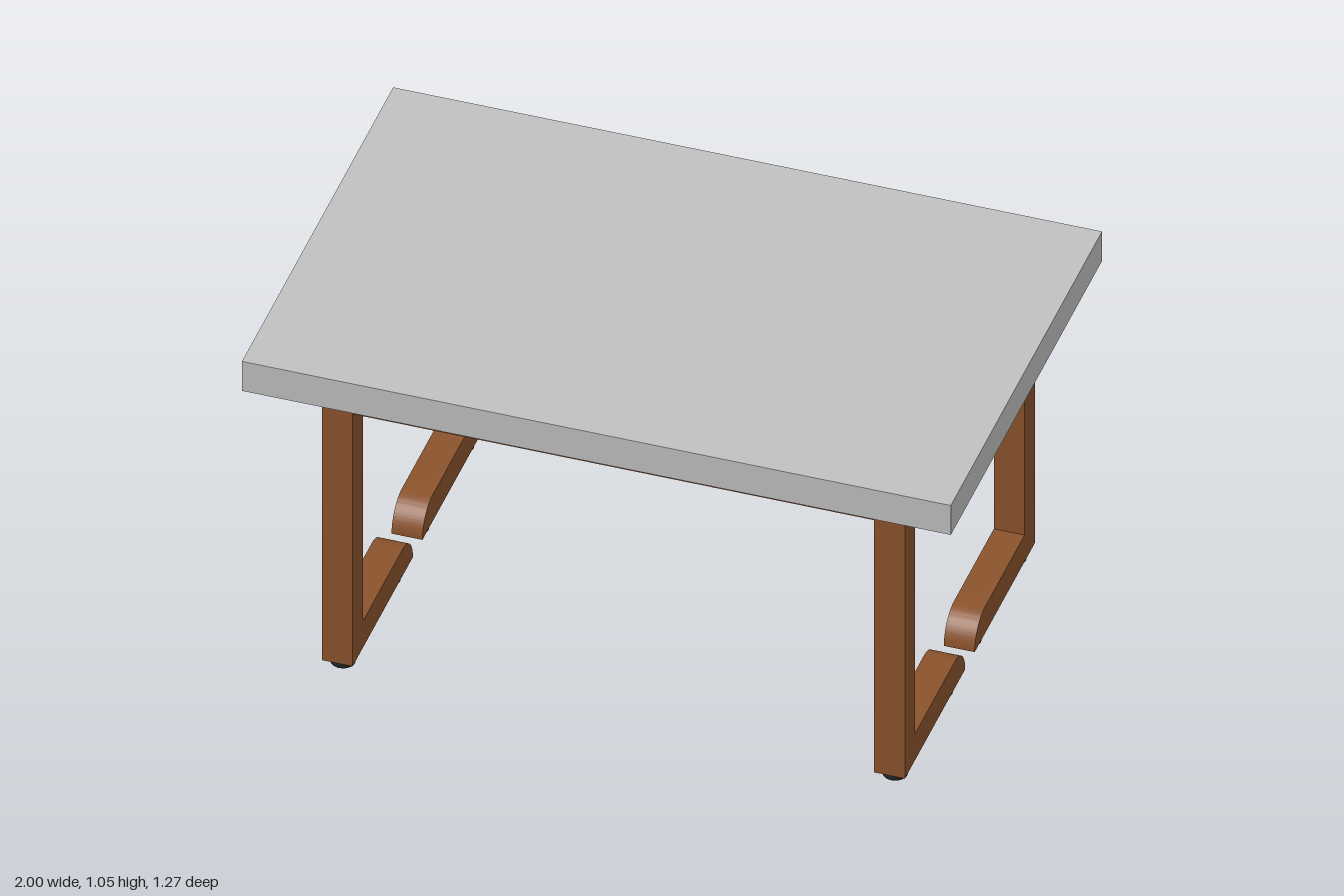
import * as THREE from 'three';
import { toCreasedNormals } from 'three/addons/utils/BufferGeometryUtils.js';

const BAR = 0.087;      // thickness of the frame bars
const FLOOR = 0.027;    // underside of the frame, above the glides
const UNDER = 0.948;    // underside of the top
const TOP = 1.047;
const LEG_X = 0.779;    // leg centre from the middle of the base
const OUTER = 0.548;    // outer face of each frame
const TOE = 0.04;       // rounded end of each foot

function part(name, geometry, material, x, y, z) {
  const mesh = new THREE.Mesh(geometry, material);
  mesh.name = name;
  mesh.position.set(x, y, z);
  return mesh;
}

// L-shaped leg and foot, drawn as z against y, with a quarter-round toe
function legGeometry() {
  const shape = new THREE.Shape();
  shape.moveTo(TOE, FLOOR);
  shape.lineTo(OUTER, FLOOR);
  shape.lineTo(OUTER, UNDER);
  shape.lineTo(OUTER - BAR, UNDER);
  shape.lineTo(OUTER - BAR, FLOOR + BAR + 0.002);
  shape.lineTo(TOE + BAR, FLOOR + BAR + 0.002);
  shape.absellipse(TOE + BAR, FLOOR, BAR, BAR + 0.002, Math.PI / 2, Math.PI, false);
  const geometry = new THREE.ExtrudeGeometry(shape, { depth: BAR, bevelEnabled: false, curveSegments: 16 });
  geometry.translate(0, 0, -BAR / 2);
  geometry.rotateY(-Math.PI / 2);
  return toCreasedNormals(geometry, 0.5);
}

export function createModel() {
  const wood = new THREE.MeshStandardMaterial({ name: 'brown frame', color: 0x8b532c });
  const grey = new THREE.MeshStandardMaterial({ name: 'grey top', color: 0xc0c0c0 });
  const rubber = new THREE.MeshStandardMaterial({ name: 'black rubber', color: 0x222222 });

  const model = new THREE.Group();
  model.name = 'table';
  model.add(part('tabletop', new THREE.BoxGeometry(2, TOP - UNDER, 1.274), grey, 0, (TOP + UNDER) / 2, 0));

  // The base sits slightly off the centre of the top
  const base = new THREE.Group();
  base.name = 'base';
  base.position.set(0.019, 0, 0.003);
  model.add(base);

  const leg = legGeometry();
  const glide = new THREE.CylinderGeometry(0.034, 0.034, FLOOR, 24);
  const railHeight = UNDER - 0.876;
  const rail = new THREE.BoxGeometry(2 * LEG_X - BAR, railHeight, BAR);

  // Two facing frames: a rail between two legs, each on two glides
  for (const [name, turn] of [['frontFrame', 0], ['backFrame', Math.PI]]) {
    const frame = new THREE.Group();
    frame.name = name;
    frame.rotation.y = turn;
    frame.add(part('rail', rail, wood, 0, UNDER - railHeight / 2, OUTER - BAR / 2));
    for (const side of [-1, 1]) {
      frame.add(part('leg', leg, wood, side * LEG_X, 0, 0));
      for (const z of [0.499, 0.12]) {
        frame.add(part('glide', glide, rubber, side * LEG_X, FLOOR / 2, z));
      }
    }
    base.add(frame);
  }
  return model;
}
